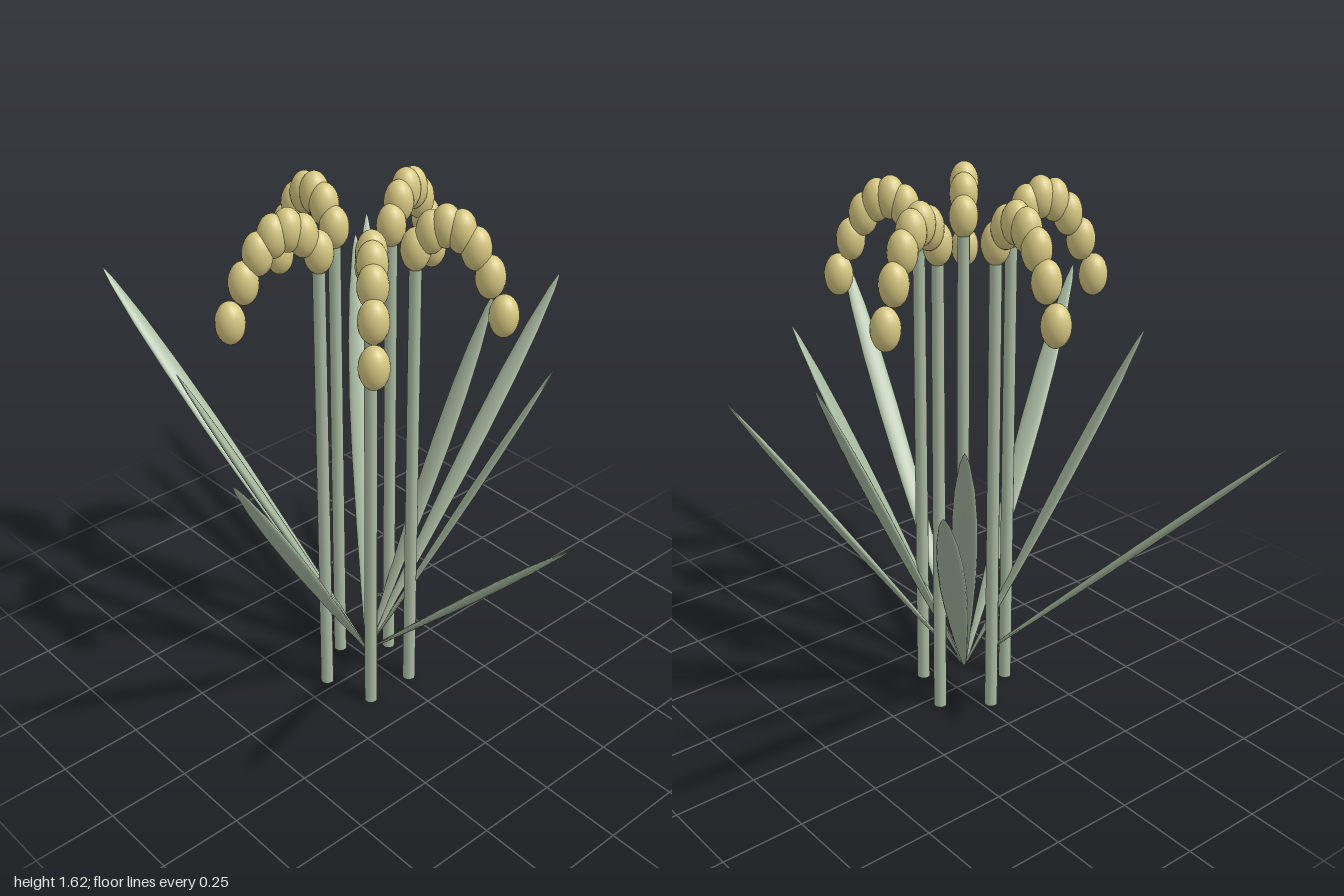
import * as THREE from 'three';

const green = new THREE.MeshStandardMaterial({ color: 0xa9bba2 });
const straw = new THREE.MeshStandardMaterial({ color: 0xd6c782 });

// [stem x, stem z, last grain x, last grain z]
const STEMS = [
  [-0.03, -0.131, -0.03, -0.378],
  [0.096, -0.037, 0.333, -0.118],
  [0.038, 0.122, 0.17, 0.33],
  [-0.123, 0.122, -0.28, 0.31],
  [-0.166, -0.037, -0.4, -0.128],
];

// Leaf tips
const TIPS = [
  [-0.25, 1.125, -1.0], [0.65, 1.125, -0.76], [-0.3, 1.13, 1.0],
  [0.45, 1.165, -0.59], [0.73, 1.16, 0.04], [-0.74, 1.165, 0.315],
  [0.49, 1.15, -0.01], [0.275, 1.155, 0.43], [-0.51, 1.155, -0.24],
];
const LEAF_BASE = new THREE.Vector3(-0.03, 0.07, 0);

// Unit-length blade: a lathe flattened across z
function bladeGeometry() {
  const profile = [
    [0, 0], [0.006, 0.02], [0.014, 0.13], [0.024, 0.3], [0.032, 0.47],
    [0.035, 0.6], [0.033, 0.74], [0.026, 0.86], [0.013, 0.96], [0.005, 0.99], [0, 1],
  ].map(([r, y]) => new THREE.Vector2(r, y));
  return new THREE.LatheGeometry(profile, 16);
}

function createLeaf(geometry, tip) {
  const dir = new THREE.Vector3(...tip).sub(LEAF_BASE);
  const length = dir.length();
  dir.normalize();
  // Width runs level, thickness lies in the vertical plane of the leaf
  const across = new THREE.Vector3(dir.z, 0, -dir.x).normalize();
  const normal = new THREE.Vector3().crossVectors(across, dir);
  const leaf = new THREE.Mesh(geometry, green);
  leaf.name = 'leaf';
  leaf.quaternion.setFromRotationMatrix(new THREE.Matrix4().makeBasis(across, dir, normal));
  leaf.position.copy(LEAF_BASE);
  leaf.scale.set(1, length, 0.35);
  return leaf;
}

export function createModel() {
  const plant = new THREE.Group();
  plant.name = 'grainPlant';

  // Fan of leaves from one base point
  const leaves = new THREE.Group();
  leaves.name = 'leaves';
  const blade = bladeGeometry();
  for (const tip of TIPS) leaves.add(createLeaf(blade, tip));
  plant.add(leaves);

  // Upright stems, each ending in a drooping row of grains
  const stemHeight = 1.48;
  const stemGeometry = new THREE.CylinderGeometry(0.018, 0.02, stemHeight, 12);
  const grainGeometry = new THREE.SphereGeometry(0.042, 20, 14).scale(1, 1.48, 1);
  const grainCount = 7;
  for (const [x0, z0, x1, z1] of STEMS) {
    const stalk = new THREE.Group();
    stalk.name = 'stalk';
    const stem = new THREE.Mesh(stemGeometry, green);
    stem.name = 'stem';
    stem.position.set(x0, stemHeight / 2, z0);
    stalk.add(stem);
    for (let i = 0; i < grainCount; i++) {
      const t = i / (grainCount - 1);
      const grain = new THREE.Mesh(grainGeometry, straw);
      grain.name = 'grain';
      grain.position.set(
        THREE.MathUtils.lerp(x0, x1, t),
        stemHeight + 0.425 * t - 0.59 * t * t,
        THREE.MathUtils.lerp(z0, z1, t),
      );
      stalk.add(grain);
    }
    plant.add(stalk);
  }
  return plant;
}
